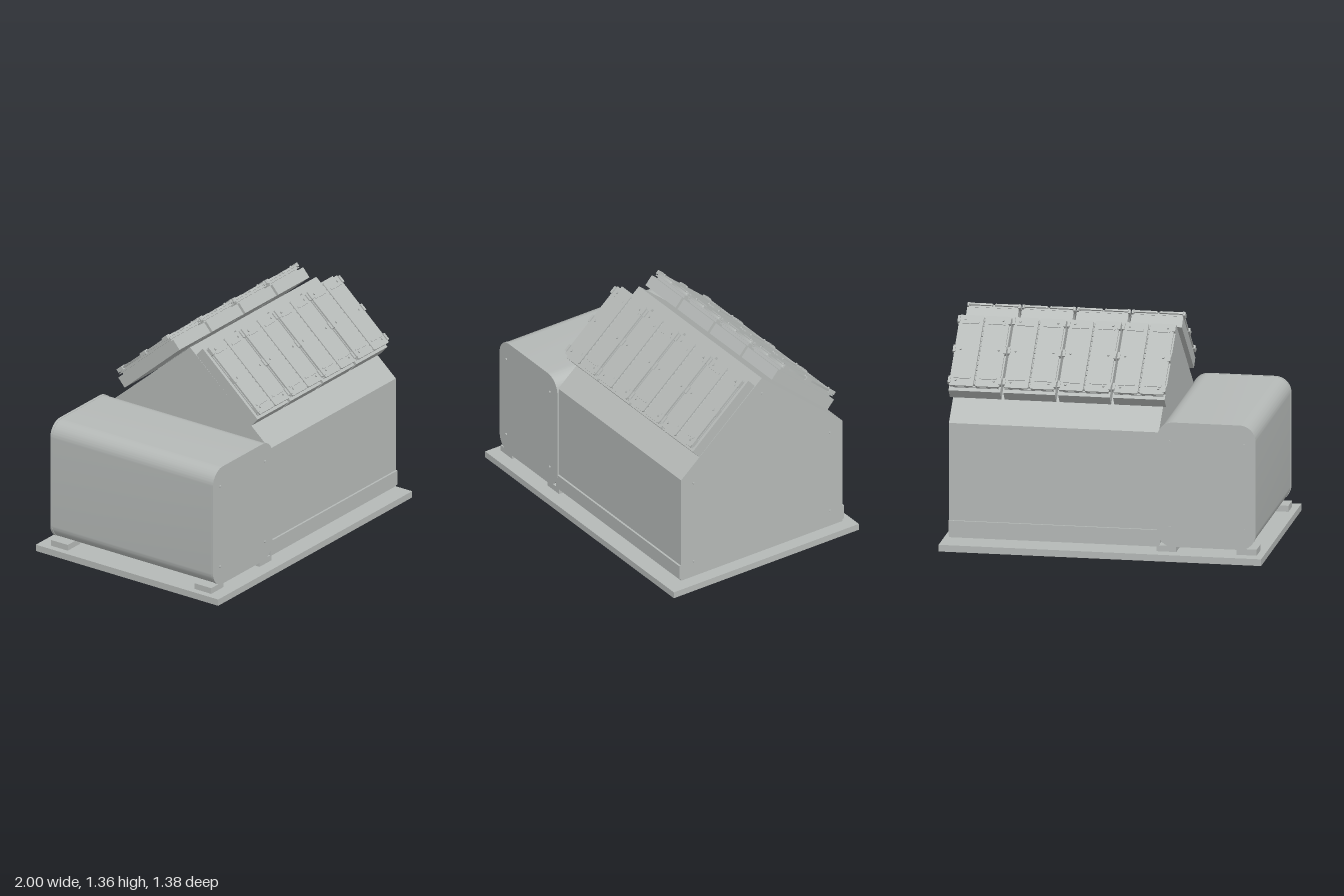
import * as THREE from 'three';
import { toCreasedNormals } from 'three/addons/utils/BufferGeometryUtils.js';

const steel = new THREE.MeshStandardMaterial({ color: 0xb5b9b7 });
steel.name = 'grey steel';

function add(parent, name, geometry, x = 0, y = 0, z = 0) {
  const mesh = new THREE.Mesh(geometry, steel);
  mesh.name = name;
  mesh.position.set(x, y, z);
  parent.add(mesh);
  return mesh;
}

// Box given by its minimum and maximum on each axis
function block(parent, name, [x0, x1], [y0, y1], [z0, z1]) {
  return add(parent, name, new THREE.BoxGeometry(x1 - x0, y1 - y0, z1 - z0),
    (x0 + x1) / 2, (y0 + y1) / 2, (z0 + z1) / 2);
}

function roundedRect(x0, y0, x1, y1, r) {
  const s = new THREE.Shape();
  s.absarc(x1 - r, y0 + r, r, -Math.PI / 2, 0);
  s.absarc(x1 - r, y1 - r, r, 0, Math.PI / 2);
  s.absarc(x0 + r, y1 - r, r, Math.PI / 2, Math.PI);
  s.absarc(x0 + r, y0 + r, r, Math.PI, Math.PI * 1.5);
  s.closePath();
  return s;
}

function extrude(shape, depth) {
  const g = new THREE.ExtrudeGeometry(shape, { depth, bevelEnabled: false, curveSegments: 12 });
  return toCreasedNormals(g, 0.6);
}

// Small round bolt head lying along the given axis
function bolt(parent, axis, x, y, z, r = 0.008, h = 0.012) {
  const m = add(parent, 'bolt', new THREE.CylinderGeometry(r, r, h, 10), x, y, z);
  if (axis === 'x') m.rotation.z = Math.PI / 2;
  if (axis === 'z') m.rotation.x = Math.PI / 2;
}

// One double-leaf hatch: x across, y away from the roof, z down the slope
function createHatch() {
  const g = new THREE.Group();
  g.name = 'roofHatch';
  block(g, 'hatchBox', [-0.16, 0.16], [0.022, 0.095], [0.065, 0.617]);
  block(g, 'hatchCore', [-0.14, 0.14], [0.095, 0.106], [0.1, 0.585]);
  block(g, 'hatchSheet', [-0.152, 0.152], [0.106, 0.113], [0.085, 0.6]);
  block(g, 'hatchSpacer', [-0.145, 0.145], [0.113, 0.122], [0.095, 0.59]);

  for (const s of [-1, 1]) {
    // Leaf with clipped corners
    const leaf = extrude(roundedRect(-0.075, 0.082, 0.075, 0.604, 0.01), 0.012);
    leaf.rotateX(Math.PI / 2);
    add(g, 'hatchLeaf', leaf, s * 0.081, 0.134, 0);
    // Straps, bolts and edge clips
    for (const z of [0.14, 0.545]) {
      const x = s * 0.082;
      block(g, 'hatchStrap', [x - 0.052, x + 0.052], [0.134, 0.139], [z - 0.006, z + 0.006]);
    }
    for (const z of [0.115, 0.335, 0.565]) {
      bolt(g, 'y', s * 0.118, 0.137, z, 0.007);
      const x = s * 0.157;
      block(g, 'edgeClip', [x - 0.008, x + 0.008], [0.117, 0.142], [z - 0.024, z + 0.024]);
    }
  }
  // Row of hinge knuckles between the leaves
  for (let i = 0; i < 14; i++) {
    const k = add(g, 'hingeKnuckle', new THREE.CylinderGeometry(0.005, 0.005, 0.026, 8),
      0, 0.127, 0.11 + i * 0.036);
    k.rotation.x = Math.PI / 2;
  }
  return g;
}

export function createModel() {
  const model = new THREE.Group();
  model.name = 'gabledUnit';

  // Ground slab and feet
  block(model, 'baseSlab', [-1, 1], [0, 0.042], [-0.69, 0.69]);
  for (const s of [-1, 1]) {
    const z = s > 0 ? [0.48, 0.606] : [-0.606, -0.48];
    block(model, 'foot', [-0.957, -0.833], [0.042, 0.08], z);
    block(model, 'foot', [-0.458, -0.335], [0.042, 0.08], z);
  }

  // Gabled house body
  const gable = new THREE.Shape([
    [-0.602, 0.07], [0.602, 0.07], [0.602, 0.79], [0, 1.31], [-0.602, 0.79],
  ].map(([a, b]) => new THREE.Vector2(a, b)));
  const house = extrude(gable, 1.302);
  house.rotateY(Math.PI / 2);
  add(model, 'gabledBody', house, -0.35, 0, 0);
  for (const z of [0.607, -0.607]) {
    block(model, 'skirtStrip', [-0.358, 0.952], [0.085, 0.178], [z - 0.008, z + 0.008]);
  }

  // Rounded casing at the end of the house
  add(model, 'roundedCasing', extrude(roundedRect(-0.95, 0.078, -0.345, 0.858, 0.1), 1.2), 0, 0, -0.6);
  for (const z of [0.6, -0.616]) {
    add(model, 'casingEndPlate', extrude(roundedRect(-0.952, 0.076, -0.341, 0.86, 0.1), 0.016), 0, 0, z);
  }

  // Bolts on the end plates and the gable wall
  for (const s of [-1, 1]) {
    for (const y of [0.2, 0.737]) {
      for (const x of [-0.88, -0.418]) bolt(model, 'z', x, y, s * 0.618);
    }
    for (const y of [0.178, 0.737]) bolt(model, 'x', 0.954, y, s * 0.508);
  }
  bolt(model, 'x', 0.952, 1.2, 0);

  // Four hatches on each roof slope
  for (const s of [1, -1]) {
    const side = new THREE.Group();
    side.name = s > 0 ? 'frontHatches' : 'backHatches';
    side.rotation.y = s > 0 ? 0 : Math.PI;
    for (let i = 0; i < 4; i++) {
      const hatch = createHatch();
      hatch.position.set(s * (-0.212 + i * 0.34), 1.31, 0);
      hatch.rotation.x = 0.718;
      side.add(hatch);
    }
    model.add(side);
  }
  return model;
}
